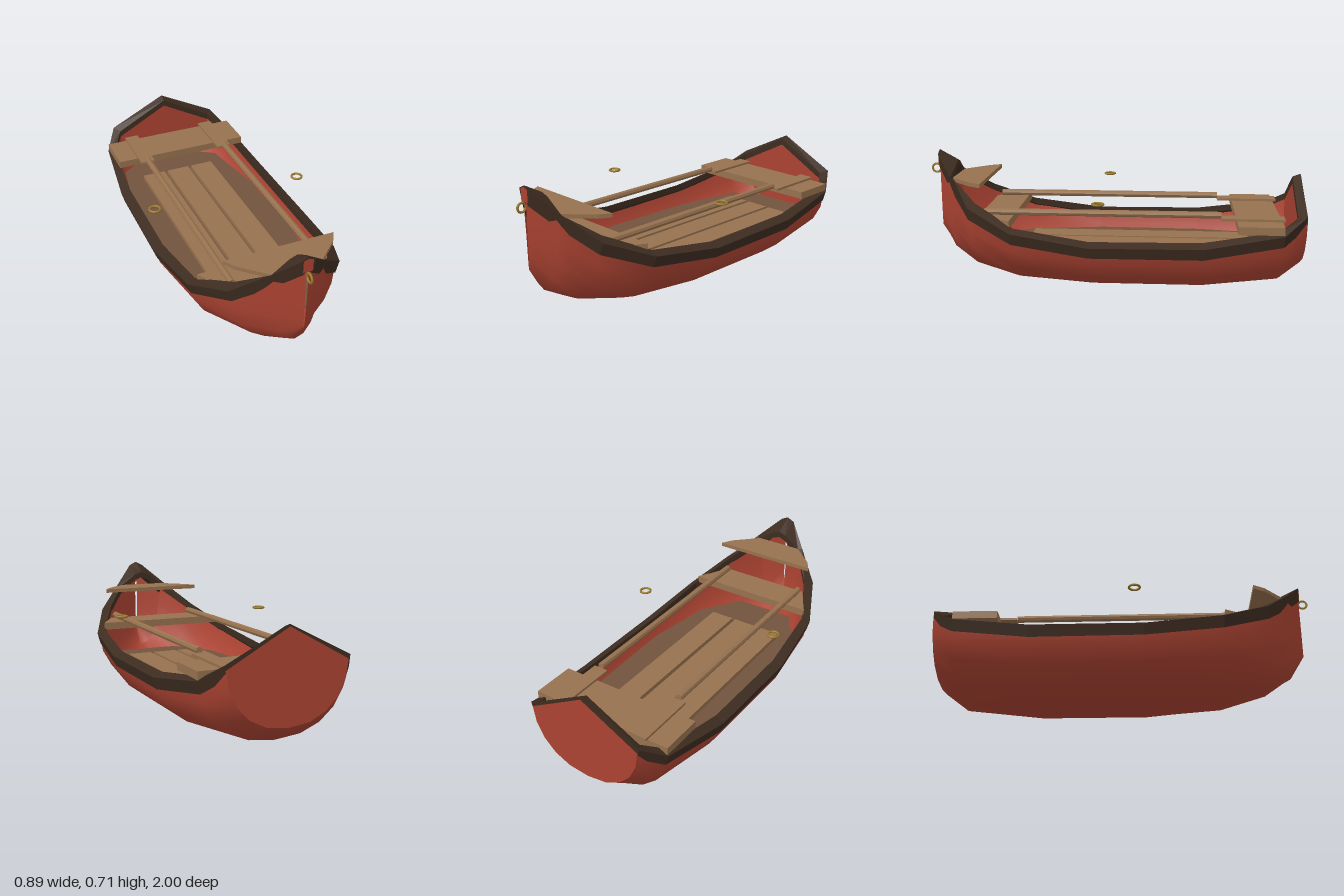
import * as THREE from 'three';

const paint = (name, color, side = THREE.FrontSide) => {
  const m = new THREE.MeshStandardMaterial({ color, side });
  m.name = name;
  return m;
};

// Hull stations: z, half width, rim height, keel height
const OUTER = [
  [0.95, 0.006, 0.68, 0.29], [0.87, 0.13, 0.56, 0.16], [0.74, 0.272, 0.43, 0.085],
  [0.5, 0.39, 0.335, 0.027], [0.1, 0.43, 0.285, 0.002], [-0.48, 0.425, 0.285, 0.002],
  [-0.88, 0.38, 0.345, 0.042], [-1, 0.31, 0.42, 0.13],
];
// Inner planking, tucked just behind the inside of the gunwale
const INNER = [
  [0.86, 0.125, 0.56, 0.19], [0.71, 0.254, 0.445, 0.11], [0.49, 0.37, 0.345, 0.055],
  [0.1, 0.41, 0.285, 0.03], [-0.47, 0.403, 0.29, 0.03], [-0.86, 0.36, 0.345, 0.07],
  [-0.957, 0.292, 0.415, 0.15],
];
const SEGMENTS = 10;
const FULLNESS = 0.88;

// Rounded section, from the -x rim under the keel to the +x rim
const section = ([, w, top, keel]) => Array.from({ length: SEGMENTS + 1 }, (_, i) => {
  const a = (i / SEGMENTS - 0.5) * Math.PI;
  const s = Math.sin(a);
  return new THREE.Vector2(w * Math.sign(s) * Math.abs(s) ** FULLNESS, top - (top - keel) * Math.cos(a));
});

// Skins rows of equally many points
function skin(rows, closed) {
  const n = rows[0].length, index = [];
  const count = closed ? rows.length : rows.length - 1;
  for (let r = 0; r < count; r++) {
    const s = (r + 1) % rows.length;
    for (let i = 0; i < (closed ? n : n - 1); i++) {
      const j = (i + 1) % n;
      const a = r * n + i, b = r * n + j, c = s * n + j, d = s * n + i;
      index.push(a, d, b, b, d, c);
    }
  }
  const g = new THREE.BufferGeometry();
  g.setAttribute('position', new THREE.Float32BufferAttribute(rows.flat(2), 3));
  g.setIndex(index);
  return g;
}

// Flat-shaded copy
function faceted(geometry) {
  const g = geometry.toNonIndexed();
  g.computeVertexNormals();
  return g;
}

// Smooth shell through stations; reversed order turns it to face inwards
function shell(stations) {
  const g = skin(stations.map((s) => section(s).map((p) => [p.x, p.y, s[0]])), false);
  g.computeVertexNormals();
  return g;
}

// Horizontal plank from half widths along z
function plank(outline, bottom, thickness) {
  const pts = [
    ...outline.map(([z, x]) => new THREE.Vector2(x, -z)),
    ...outline.map(([z, x]) => new THREE.Vector2(-x, -z)).reverse(),
  ];
  const g = new THREE.ExtrudeGeometry(new THREE.Shape(pts), { depth: thickness, bevelEnabled: false });
  return g.rotateX(-Math.PI / 2).translate(0, bottom, 0);
}

export function createModel() {
  const boat = new THREE.Group();
  boat.name = 'rowingBoat';
  const red = paint('hullRed', 0xac4332, THREE.DoubleSide);
  const dark = paint('trimDarkBrown', 0x3d2c20, THREE.DoubleSide);
  const wood = paint('plankWood', 0x96714e);
  const floorWood = paint('floorWood', 0x72533e);
  const brass = paint('brass', 0x9a7a2c);

  const add = (name, geometry, material, x = 0, y = 0, z = 0, parent = boat) => {
    const mesh = new THREE.Mesh(geometry, material);
    mesh.name = name;
    mesh.position.set(x, y, z);
    parent.add(mesh);
    return mesh;
  };
  const box = (w, h, d) => new THREE.BoxGeometry(w, h, d);

  // Outer and inner planking
  add('hull', shell(OUTER), red);
  add('innerPlanking', shell([...INNER].reverse()), red);

  // Peaked transom, outside and inside, and the stem head between the gunwales
  const flat = (points) => new THREE.ShapeGeometry(new THREE.Shape(points));
  const cap = (station, peak) => flat([...section(station), new THREE.Vector2(0, peak)]);
  add('transom', cap(OUTER[7], 0.59).rotateY(Math.PI), red, 0, 0, -1);
  add('innerTransom', cap(INNER[6], 0.57), red, 0, 0, -0.957);
  const head = [[-0.025, 0.63], [0.025, 0.63], [0.025, 0.693], [0, 0.703], [-0.025, 0.693]];
  add('stemHead', flat(head.map((p) => new THREE.Vector2(...p))), red, 0, 0, 0.953);

  // Gunwale: outer and inner top edges and outer depth, mirrored into a closed ring
  const rim = [
    [[0, 0.71, 0.95], [0, 0.655, 0.85], 0.07],
    [[0.04, 0.69, 0.95], [0.04, 0.64, 0.85], 0.075],
    [[0.152, 0.582, 0.86], [0.13, 0.575, 0.85], 0.075],
    [[0.295, 0.45, 0.74], [0.25, 0.47, 0.71], 0.065],
    [[0.405, 0.345, 0.5], [0.362, 0.365, 0.49], 0.06],
    [[0.445, 0.29, 0.1], [0.392, 0.31, 0.1], 0.057],
    [[0.44, 0.293, -0.48], [0.39, 0.315, -0.47], 0.06],
    [[0.395, 0.355, -0.88], [0.355, 0.37, -0.86], 0.06],
    [[0.32, 0.44, -0.997], [0.29, 0.43, -0.955], 0.06],
    [[0, 0.6, -0.997], [0, 0.585, -0.955], 0.06],
  ];
  const rimRow = ([o, i, depth], side) => [
    [side * i[0], i[1], i[2]],
    [side * i[0], i[1] - 0.035, i[2]],
    [side * Math.max(o[0] - 0.018, 0), o[1] - depth, o[2]],
    [side * o[0], o[1], o[2]],
  ];
  const ring = [
    ...rim.map((r) => rimRow(r, 1)),
    ...rim.slice(1, -1).reverse().map((r) => rimRow(r, -1)),
  ];
  add('gunwale', faceted(skin(ring, true)), dark);

  // Flat floor reaching just behind the inner planking, with three floorboards
  const FLOOR = 0.19;
  const floorEdge = INNER.slice(1).map(([z, w, top, keel]) => {
    const c = (top - FLOOR) / (top - keel);
    return [z, w * Math.sqrt(1 - c * c) ** FULLNESS];
  });
  add('floor', plank(floorEdge, FLOOR - 0.008, 0.008), floorWood);
  for (const x of [-0.155, 0, 0.155])
    add('floorboard', box(0.135, 0.025, 1.21), wood, x, FLOOR + 0.0125, -0.135);

  // Seats and raised bow plank
  add('sternSeat', box(0.78, 0.04, 0.23), wood, 0, 0.38, -0.765);
  add('bowSeat', plank([[0.51, 0.358], [0.6, 0.308], [0.69, 0.255]], 0.362, 0.04), wood);
  add('bowPlank', plank([[0.67, 0.29], [0.73, 0.255], [0.85, 0.13]], 0.557, 0.021), wood);

  // Oars and brass oarlock rings on both sides
  for (const side of [-1, 1]) {
    const oar = new THREE.Group();
    oar.name = side > 0 ? 'leftOar' : 'rightOar';
    oar.position.x = side * 0.24;
    boat.add(oar);
    const shaft = new THREE.CylinderGeometry(0.018, 0.018, 1.23, 8).rotateX(Math.PI / 2);
    add('oarShaft', faceted(shaft), wood, 0, 0.424, 0.045, oar);
    add('oarBlade', box(0.08, 0.012, 0.325), wood, 0, 0.408, -0.7325, oar);
    const lock = new THREE.TorusGeometry(0.028, 0.006, 8, 20).rotateX(Math.PI / 2);
    add('oarlock', lock, brass, side * 0.41, 0.51, 0.05);
  }

  // Mooring ring on the stem
  add('mooringRing', new THREE.TorusGeometry(0.023, 0.006, 8, 20).rotateY(Math.PI / 2), brass, 0, 0.607, 0.971);
  return boat;
}
